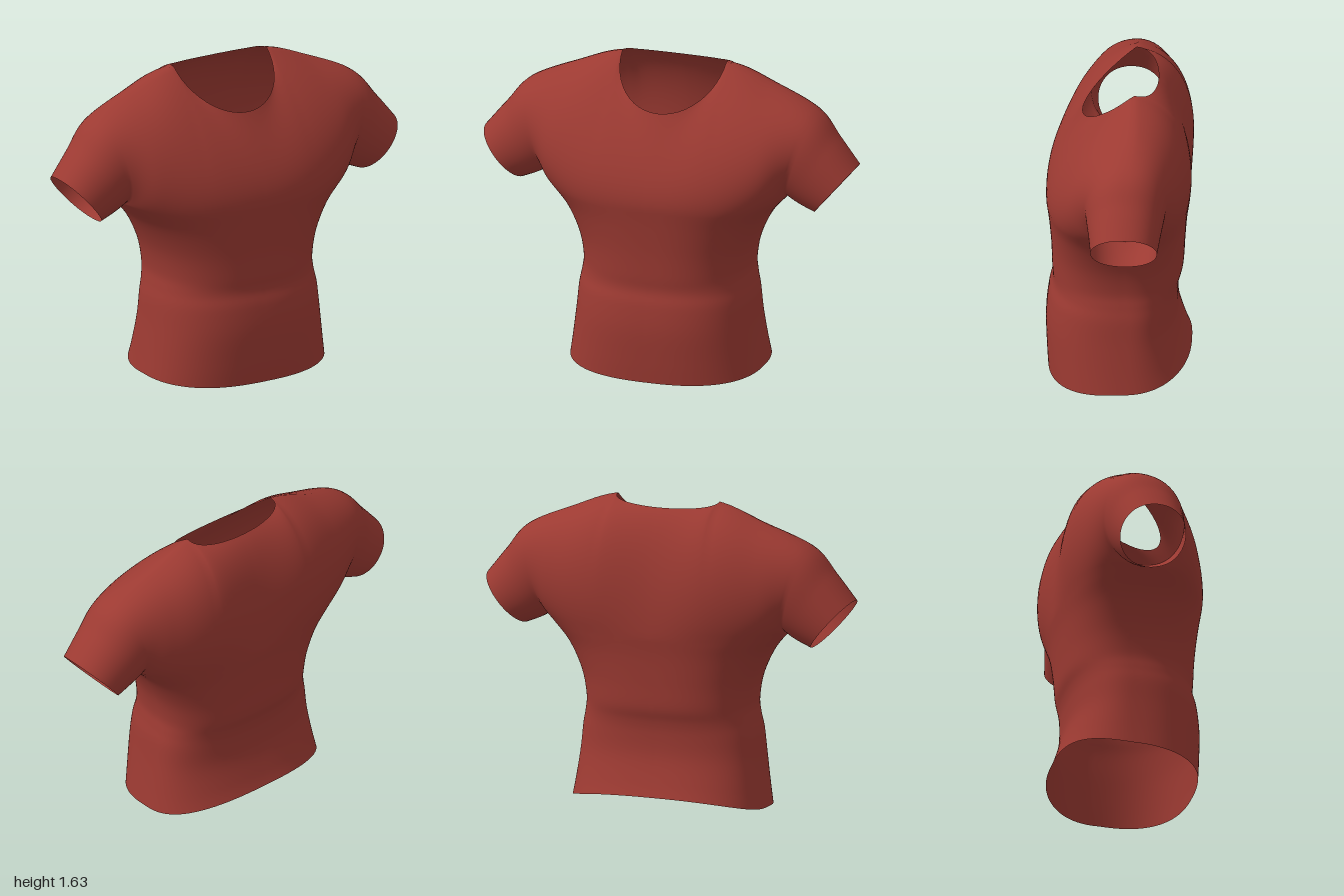
import * as THREE from 'three';
import { mergeGeometries, mergeVertices } from 'three/addons/utils/BufferGeometryUtils.js';

const V = (x, y, z) => new THREE.Vector3(x, y, z);
const SIDE_Z = -0.04;            // depth of the side seams
const NECK = V(0.28, 1.63, -0.08);

// Columns c run from the centre line (0) over neck corner (1), shoulder (2),
// armpit (3) and mid sleeve (4) to the sleeve opening (5).
const column = (pts) => {
  const mirrored = V(-pts[1][0], pts[1][1], pts[1][2]);
  const curve = new THREE.CatmullRomCurve3([mirrored, ...pts.map((p) => V(...p))], false, 'catmullrom');
  return (c) => curve.getPoint((c + 1) / 6);
};

// Ridge along the shoulder and the top of the sleeve
const ridge = column([[0, 1.63, -0.08], NECK.toArray(), [0.52, 1.545, -0.085],
  [0.77, 1.43, -0.07], [0.89, 1.295, -0.05], [1.0, 1.16, SIDE_Z]]);
// Seam under the arm
const underarm = new THREE.CatmullRomCurve3(
  [V(0.645, 0.98, SIDE_Z), V(0.705, 0.94, SIDE_Z), V(0.785, 0.905, SIDE_Z)], false, 'catmullrom');

// Control points that bulge the cloth between the base and the ridge
const bulge = {
  front: {
    low: column([[0, 1.11, 0.385], [0.33, 1.18, 0.38], [0.58, 1.12, 0.33],
      [0.645, 0.98, 0.25], [0.705, 0.94, 0.213], [0.785, 0.905, 0.187]]),
    high: column([[0, 1.29, 0.25], [0.3, 1.5, 0.13], [0.56, 1.46, 0.2],
      [0.77, 1.43, 0.22], [0.89, 1.295, 0.205], [1.0, 1.16, 0.187]]),
  },
  back: {
    low: column([[0, 1.2, -0.375], [0.33, 1.23, -0.42], [0.6, 1.12, -0.36],
      [0.645, 0.98, -0.32], [0.705, 0.94, -0.293], [0.785, 0.905, -0.267]]),
    high: column([[0, 1.5, -0.33], [0.3, 1.58, -0.35], [0.55, 1.5, -0.34],
      [0.77, 1.43, -0.32], [0.89, 1.295, -0.293], [1.0, 1.16, -0.267]]),
  },
};

// Torso rings from hem to chest: height, half width, front depth, back depth
const rings = [
  [0, 0.515, 0.365, 0.37], [0.12, 0.498, 0.372, 0.34], [0.28, 0.478, 0.376, 0.305],
  [0.41, 0.465, 0.362, 0.3], [0.49, 0.45, 0.342, 0.308], [0.57, 0.442, 0.345, 0.328],
  [0.7, 0.468, 0.35, 0.336], [0.84, 0.54, 0.362, 0.347], [0.95, 0.645, 0.375, 0.362],
];
const ringSize = new THREE.CatmullRomCurve3(rings.map((r) => V(r[1], r[2], r[3])), false, 'catmullrom');
const ringHeight = new THREE.CatmullRomCurve3(rings.map((r) => V(0, r[0], 0)), false, 'catmullrom');

function torsoPoint(c, v, front) {
  const size = ringSize.getPoint(v);
  const h = ringHeight.getPoint(v).y;
  const k = c >= 3 ? 1 : Math.sin((c * Math.PI) / 6);
  const depth = front ? size.y - SIDE_Z : size.z + SIDE_Z;
  const reach = Math.pow(1 - Math.pow(k, 2.5), 0.4);
  const z = SIDE_Z + (front ? 1 : -1) * depth * reach;
  // The hem dips at the front and rises at the back; the chest line rises to the armpits
  const q = z / 0.37;
  const hem = 0.035 + (q < 0 ? 0.08 * q * q : -0.032 * q);
  const y = h + hem * Math.pow(1 - h / 0.95, 3) + 0.03 * Math.pow(k, 4) * v * v * v;
  return V(size.x * k, y, z);
}

// Neckline inside the neck corner, shoulder ridge beyond it
function topPoint(c, front) {
  if (c >= 1) return ridge(c);
  const a = (c * Math.PI) / 2;
  const s = Math.cos(a);
  return V(NECK.x * Math.sin(a), NECK.y - (front ? 0.22 : 0.03) * s,
    NECK.z + (front ? 0.27 * s : -0.12 * Math.pow(Math.max(s, 0), 0.75)));
}

function upperPoint(c, v, front) {
  const base = c <= 3 ? torsoPoint(c, 1, front) : underarm.getPoint((c - 3) / 2);
  const { low, high } = front ? bulge.front : bulge.back;
  return new THREE.CubicBezierCurve3(base, low(c), high(c), topPoint(c, front)).getPoint(v);
}

// Grid patch on one side (+1 left, -1 right), wound to face outward
function patch(fn, c0, c1, nu, nv, front, side) {
  const pos = [];
  const index = [];
  for (let i = 0; i <= nu; i++) {
    for (let j = 0; j <= nv; j++) {
      const p = fn(c0 + ((c1 - c0) * i) / nu, j / nv, front);
      pos.push(p.x * side, p.y, p.z);
    }
  }
  const flip = front !== (side > 0);
  for (let i = 0; i < nu; i++) {
    for (let j = 0; j < nv; j++) {
      const a = i * (nv + 1) + j;
      const b = a + nv + 1;
      if (flip) index.push(a, b + 1, b, a, a + 1, b + 1);
      else index.push(a, b, b + 1, a, b + 1, a + 1);
    }
  }
  const g = new THREE.BufferGeometry();
  g.setAttribute('position', new THREE.Float32BufferAttribute(pos, 3));
  g.setIndex(index);
  return g;
}

export function createModel() {
  const group = new THREE.Group();
  group.name = 'shirt';
  const redCloth = new THREE.MeshStandardMaterial({ color: 0x9c3a32, side: THREE.DoubleSide });
  redCloth.name = 'redCloth';

  const both = (fn, c0, c1, nu, nv, sides) =>
    sides.flatMap((s) => [true, false].map((front) => patch(fn, c0, c1, nu, nv, front, s)));
  const parts = {
    torso: both(torsoPoint, 0, 3, 36, 40, [1, -1]),
    yoke: both(upperPoint, 0, 3, 36, 24, [1, -1]),
    leftSleeve: both(upperPoint, 3, 5, 16, 24, [1]),
    rightSleeve: both(upperPoint, 3, 5, 16, 24, [-1]),
  };

  // Weld all parts first so the normals run smoothly across the seams
  const welded = mergeVertices(mergeGeometries(Object.values(parts).flat()), 1e-4);
  welded.computeVertexNormals();
  let start = 0;
  for (const [name, patches] of Object.entries(parts)) {
    const count = patches.reduce((n, g) => n + g.index.count, 0);
    const piece = welded.clone();
    piece.setIndex(Array.from(welded.index.array.slice(start, start + count)));
    start += count;
    const mesh = new THREE.Mesh(piece.toNonIndexed(), redCloth);
    mesh.name = name;
    group.add(mesh);
  }
  return group;
}
